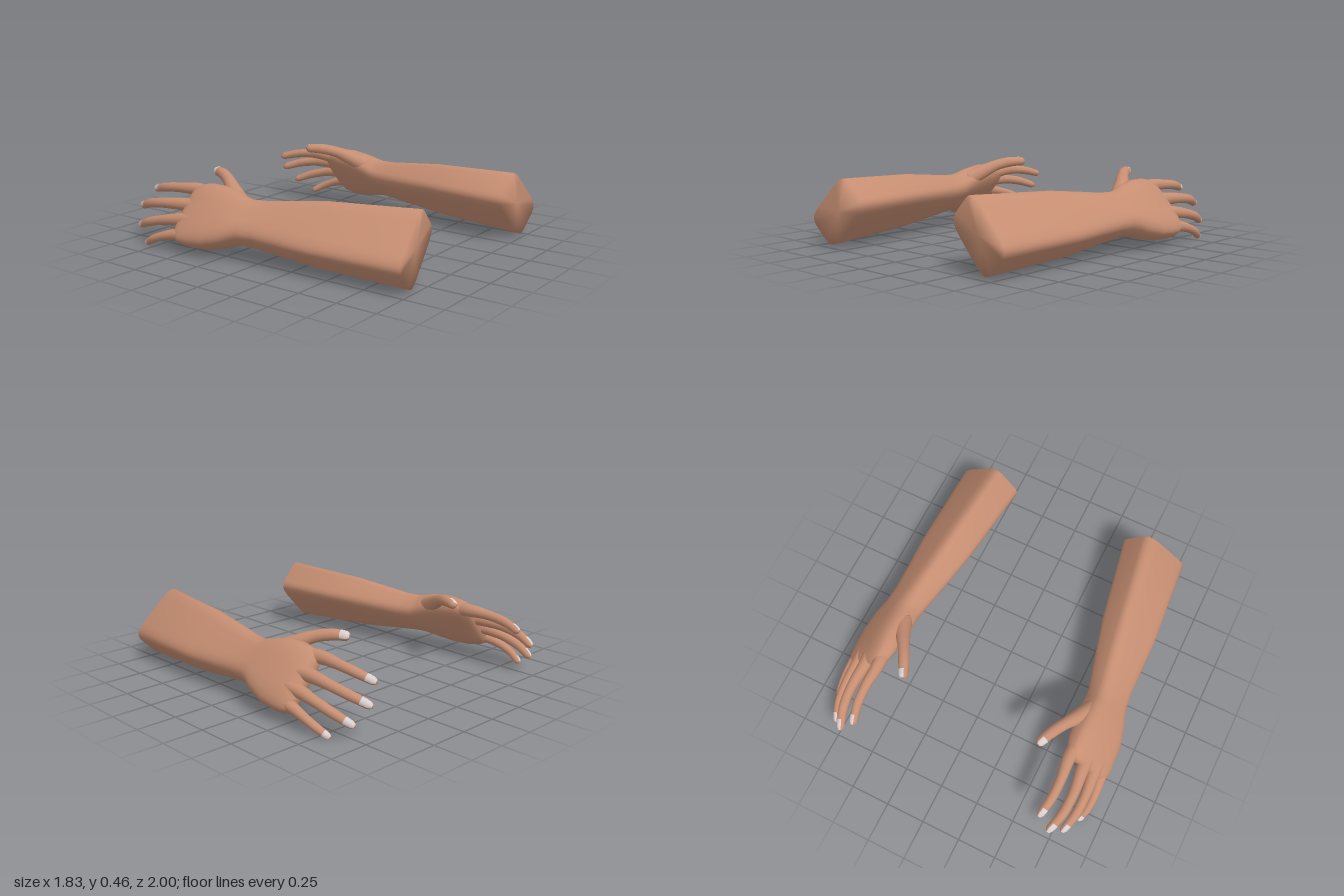
import * as THREE from 'three';

const V = (x, y, z) => new THREE.Vector3(x, y, z);

// Skins a list of equal-length rings; closed rings are also capped at both ends.
// s = -1 mirrors the result across x and keeps the faces pointing outward.
function loft(rings, closed, s) {
  const n = rings[0].length, pos = [], index = [];
  const tri = (a, b, c) => (s > 0 ? index.push(a, b, c) : index.push(a, c, b));
  const add = (p) => pos.push(p.x * s, p.y, p.z);
  rings.forEach((ring) => ring.forEach(add));
  for (let i = 0; i < rings.length - 1; i++) {
    for (let j = 0; j < (closed ? n : n - 1); j++) {
      const k = (j + 1) % n, a = i * n, b = a + n;
      tri(a + j, b + j, a + k);
      tri(a + k, b + j, b + k);
    }
  }
  if (closed) {
    const last = (rings.length - 1) * n, c = rings.length * n;
    for (const ring of [rings[0], rings[rings.length - 1]]) {
      add(ring.reduce((m, p) => m.add(p), V(0, 0, 0)).divideScalar(n));
    }
    for (let j = 0; j < n; j++) {
      const k = (j + 1) % n;
      tri(c, j, k);
      tri(c + 1, last + k, last + j);
    }
  }
  const g = new THREE.BufferGeometry();
  g.setAttribute('position', new THREE.Float32BufferAttribute(pos, 3));
  g.setIndex(index);
  g.computeVertexNormals();
  return g;
}

// Forearm and palm sections: z, centre x, centre y, half width, half thickness, roll in degrees, squareness
const SECTIONS = [
  [0.97, 0.635, 0.236, 0.207, 0.130, 45, 5],
  [0.40, 0.680, 0.236, 0.182, 0.118, 45, 4.5],
  [0.18, 0.697, 0.236, 0.160, 0.107, 45, 3.8],
  [0.00, 0.713, 0.236, 0.141, 0.098, 45, 3.2],
  [-0.10, 0.727, 0.238, 0.138, 0.095, 45, 3],
  [-0.15, 0.735, 0.240, 0.150, 0.095, 47, 3],
  [-0.22, 0.745, 0.241, 0.178, 0.094, 49, 3],
  [-0.33, 0.755, 0.241, 0.203, 0.090, 51, 3],
  [-0.43, 0.758, 0.240, 0.208, 0.080, 51, 3],
  [-0.50, 0.764, 0.238, 0.200, 0.066, 50, 3],
  [-0.54, 0.768, 0.238, 0.185, 0.050, 49, 3],
  [-0.56, 0.770, 0.240, 0.165, 0.030, 48, 3],
];

function sectionRing([z, cx, cy, a, b, roll, n], i) {
  const f = THREE.MathUtils.degToRad(roll), ring = [];
  const power = (v) => Math.sign(v) * Math.abs(v) ** (2 / n);
  for (let j = 0; j < 32; j++) {
    const t = (j / 32) * Math.PI * 2;
    const w = a * power(Math.cos(t)), d = b * power(Math.sin(t));
    const x = cx + w * Math.cos(f) + d * Math.sin(f);
    const y = cy - w * Math.sin(f) + d * Math.cos(f);
    ring.push(V(x, y, i === 0 ? z + (x - cx) * 0.1 : z)); // the elbow end is cut at a slant
  }
  return ring;
}

// Finger centrelines, running from inside the palm to the tip, with a radius at each point
const DIGITS = {
  thumb: {
    path: [[0.67, 0.32, -0.2], [0.605, 0.38, -0.31], [0.553, 0.42, -0.39], [0.5, 0.441, -0.48], [0.45, 0.441, -0.58]],
    radii: [0.06, 0.047, 0.037, 0.035, 0.027], back: V(0.75, 0.6, 0),
  },
  indexFinger: {
    path: [[0.672, 0.345, -0.42], [0.652, 0.362, -0.56], [0.657, 0.357, -0.7], [0.648, 0.34, -0.83], [0.617, 0.308, -0.95]],
    radii: [0.05, 0.041, 0.031, 0.029, 0.023], back: V(0.72, 0.69, 0),
  },
  middleFinger: {
    path: [[0.757, 0.28, -0.42], [0.75, 0.285, -0.56], [0.757, 0.274, -0.73], [0.742, 0.25, -0.87], [0.697, 0.207, -0.997]],
    radii: [0.05, 0.042, 0.032, 0.03, 0.023], back: V(0.72, 0.69, 0),
  },
  ringFinger: {
    path: [[0.815, 0.215, -0.42], [0.82, 0.207, -0.56], [0.826, 0.185, -0.7], [0.813, 0.15, -0.83], [0.775, 0.103, -0.945]],
    radii: [0.05, 0.04, 0.031, 0.029, 0.022], back: V(0.74, 0.67, 0),
  },
  littleFinger: {
    path: [[0.856, 0.14, -0.42], [0.87, 0.128, -0.55], [0.877, 0.1, -0.66], [0.868, 0.064, -0.75], [0.84, 0.022, -0.825]],
    radii: [0.046, 0.035, 0.027, 0.025, 0.02], back: V(0.76, 0.65, 0),
  },
};

// One cross-section of a digit; the angles run round it, with the back of the digit at 90 degrees
function digitRing({ path, radii, back }, t, angles, grow = 0, minTip = 0.3) {
  const curve = new THREE.CatmullRomCurve3(path.map((p) => V(...p)));
  const c = curve.getPoint(t), dir = curve.getTangent(t);
  const up = back.clone().addScaledVector(dir, -back.dot(dir)).normalize();
  const side = dir.clone().cross(up);
  const u = t * (radii.length - 1), i = Math.min(Math.floor(u), radii.length - 2);
  const along = THREE.MathUtils.clamp((t - 0.94) / 0.06, 0, 1);
  const tip = Math.max(minTip, Math.sqrt(1 - along * along));
  const r = THREE.MathUtils.lerp(radii[i], radii[i + 1], u - i) * tip + grow;
  return angles.map((a) => c.clone()
    .addScaledVector(side, r * Math.cos(a))
    .addScaledVector(up, r * Math.sin(a)));
}

const ROUND = Array.from({ length: 16 }, (_, j) => (j / 16) * Math.PI * 2);
const NAIL_ARC = Array.from({ length: 9 }, (_, j) => Math.PI * (0.18 + 0.08 * j));
const STEPS = [...Array.from({ length: 19 }, (_, i) => i * 0.05), 0.94, 0.96, 0.98, 0.99, 1];
const NAIL_STEPS = [0.875, 0.9, 0.93, 0.96, 0.98, 0.995];

function buildArm(s, skin, nail) {
  const arm = new THREE.Group();
  arm.name = s > 0 ? 'leftArm' : 'rightArm';
  const add = (name, geometry, material) => {
    const mesh = new THREE.Mesh(geometry, material);
    mesh.name = name;
    arm.add(mesh);
  };
  add('forearmAndPalm', loft(SECTIONS.map(sectionRing), true, s), skin);
  for (const [name, digit] of Object.entries(DIGITS)) {
    add(name, loft(STEPS.map((t) => digitRing(digit, t, ROUND)), true, s), skin);
    add(name + 'Nail', loft(NAIL_STEPS.map((t) => digitRing(digit, t, NAIL_ARC, 0.002, 0.6)), false, s), nail);
  }
  return arm;
}

export function createModel() {
  const skin = new THREE.MeshStandardMaterial({ color: 0xc68e72 });
  skin.name = 'skin';
  const nail = new THREE.MeshStandardMaterial({ color: 0xd9cdcc, side: THREE.DoubleSide });
  nail.name = 'nail';

  const model = new THREE.Group();
  model.name = 'pairOfArms';
  model.add(buildArm(1, skin, nail));

  // The mirrored arm is turned slightly about the middle of its palm
  const right = buildArm(-1, skin, nail);
  const turn = 0.045, pivot = V(-0.65, 0, -0.35);
  right.rotation.y = turn;
  right.position.copy(pivot).sub(pivot.clone().applyAxisAngle(V(0, 1, 0), turn));
  model.add(right);
  return model;
}
